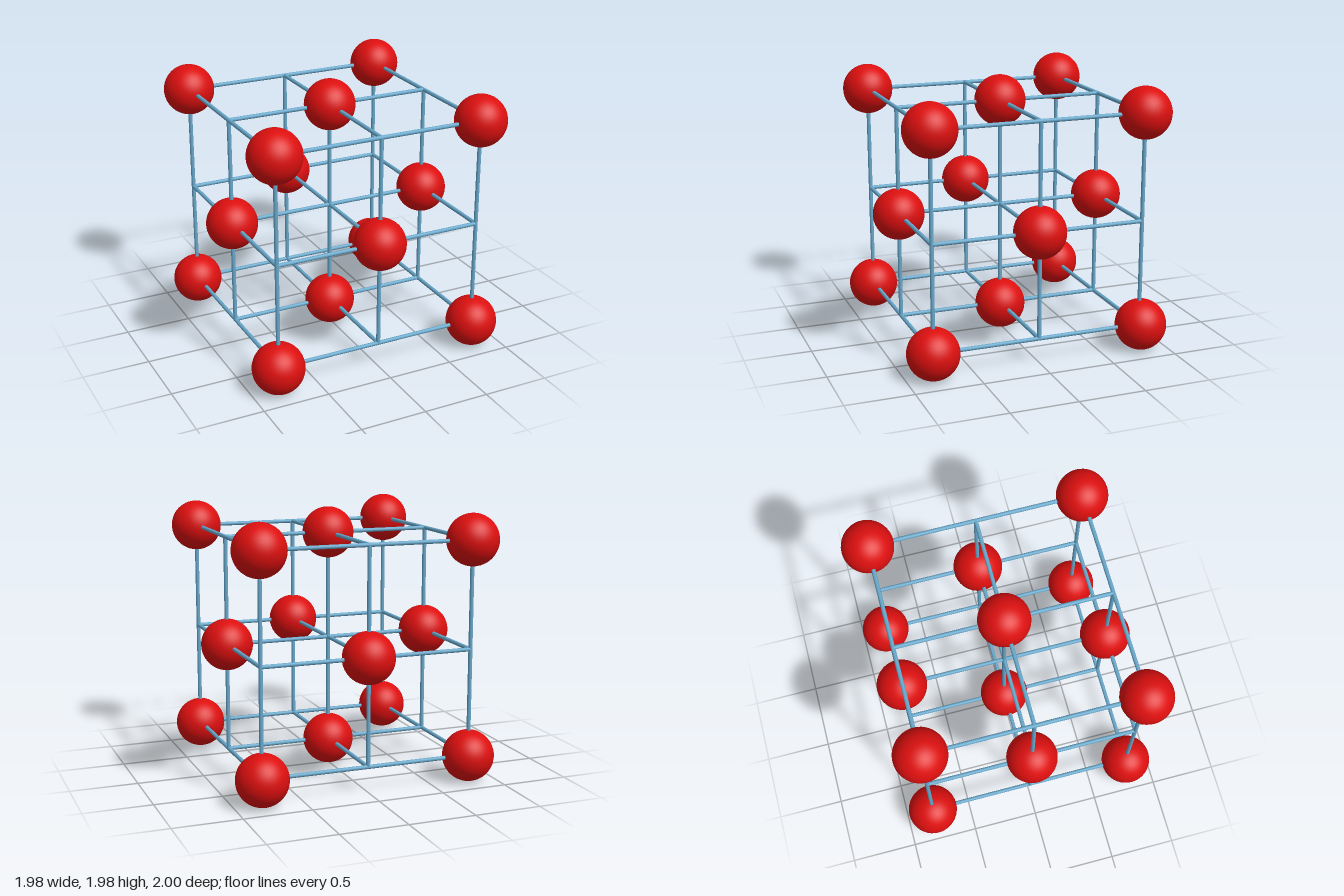
import * as THREE from 'three';

const S = 0.8;          // half edge of the lattice cube
const ATOM_R = 0.191;
const ROD_R = 0.015;

export function createModel() {
  const model = new THREE.Group();
  model.name = 'cubicLattice';

  const red = new THREE.MeshStandardMaterial({ color: 0xdc0f0f });
  red.name = 'atomRed';
  const blue = new THREE.MeshStandardMaterial({ color: 0x68a8cb });
  blue.name = 'rodBlue';

  const lattice = new THREE.Group();
  lattice.name = 'lattice';
  lattice.position.set(0, 1, 0.005);
  model.add(lattice);

  // Balls on the eight corners and six face centres
  const ball = new THREE.SphereGeometry(ATOM_R, 40, 28);
  const steps = [-1, 0, 1];
  for (const x of steps) for (const y of steps) for (const z of steps) {
    const n = Math.abs(x) + Math.abs(y) + Math.abs(z);
    if (n !== 1 && n !== 3) continue;
    const atom = new THREE.Mesh(ball, red);
    atom.name = n === 3 ? 'cornerAtom' : 'faceAtom';
    atom.position.set(x, y, z).multiplyScalar(S);
    // one lower back corner sits slightly outward
    if (x === 1 && y === -1 && z === -1) atom.position.z -= 0.014;
    lattice.add(atom);
  }

  // Nine full-length rods along each axis
  const rod = new THREE.CylinderGeometry(ROD_R, ROD_R, 2 * S, 16);
  for (const a of steps) for (const b of steps) {
    const add = (name, x, y, z, rx, rz) => {
      const mesh = new THREE.Mesh(rod, blue);
      mesh.name = name;
      mesh.position.set(x, y, z).multiplyScalar(S);
      mesh.rotation.set(rx, 0, rz);
      lattice.add(mesh);
    };
    add('rodAcross', 0, a, b, 0, Math.PI / 2);
    add('rodUpright', a, 0, b, 0, 0);
    add('rodDeep', a, b, 0, Math.PI / 2, 0);
  }
  return model;
}
